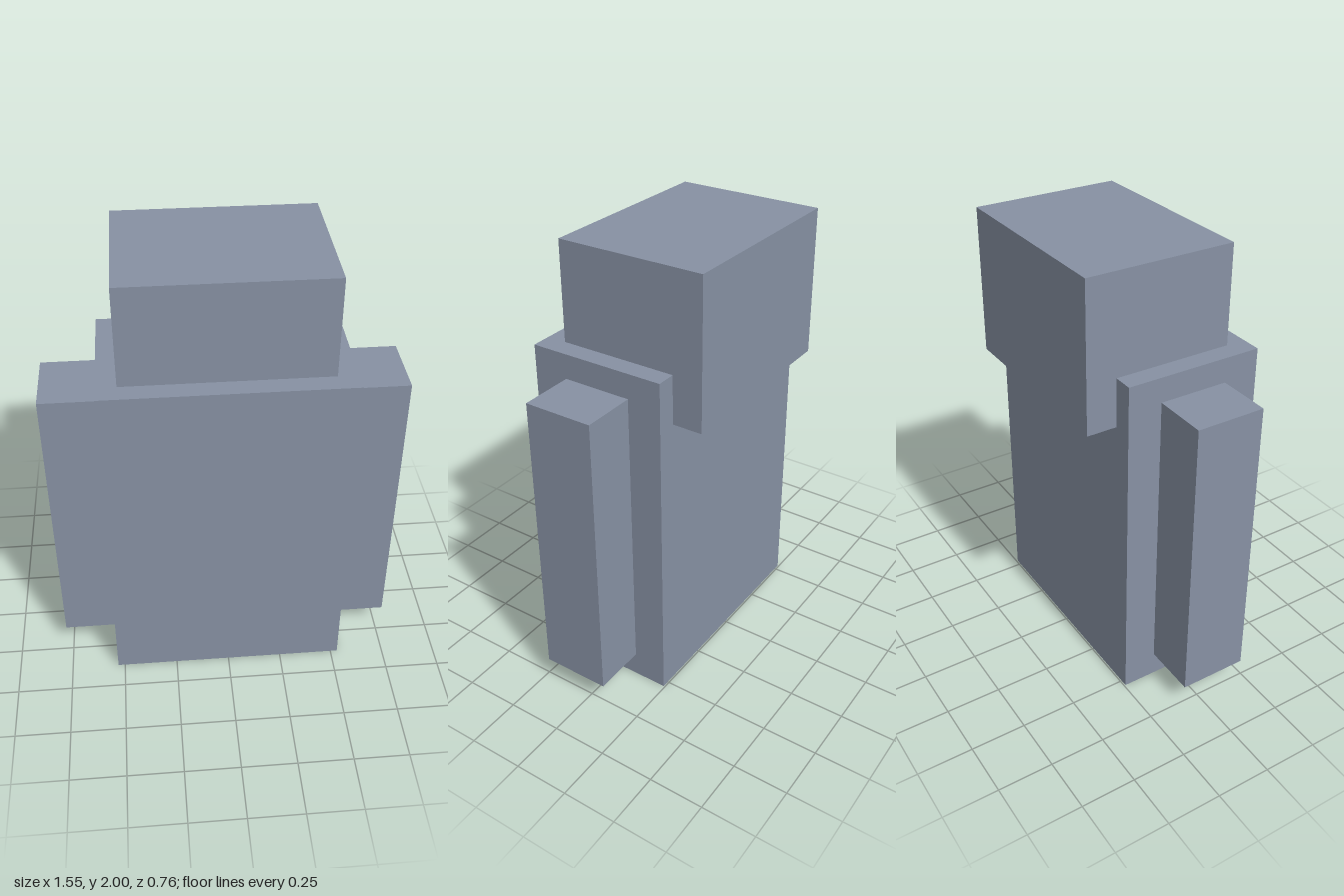
import * as THREE from 'three';

export function createModel() {
  const model = new THREE.Group();
  model.name = 'blockFigure';
  const slate = new THREE.MeshStandardMaterial({ color: 0x8791a3 });
  slate.name = 'slate grey';

  // Adds a box given its lower and upper corners
  function addBox(name, [x0, y0, z0], [x1, y1, z1]) {
    const geometry = new THREE.BoxGeometry(x1 - x0, y1 - y0, z1 - z0);
    const mesh = new THREE.Mesh(geometry, slate);
    mesh.name = name;
    mesh.position.set((x0 + x1) / 2, (y0 + y1) / 2, (z0 + z1) / 2);
    model.add(mesh);
  }

  // Torso, and the head that overhangs its back
  addBox('body', [-0.532, 0, -0.243], [0.532, 1.557, 0.378]);
  addBox('head', [-0.444, 1.337, -0.378], [0.444, 2, 0.29]);

  // Slabs on both sides
  addBox('leftArm', [0.532, 0.115, -0.09], [0.777, 1.445, 0.22]);
  addBox('rightArm', [-0.777, 0.115, -0.09], [-0.532, 1.445, 0.22]);

  return model;
}
